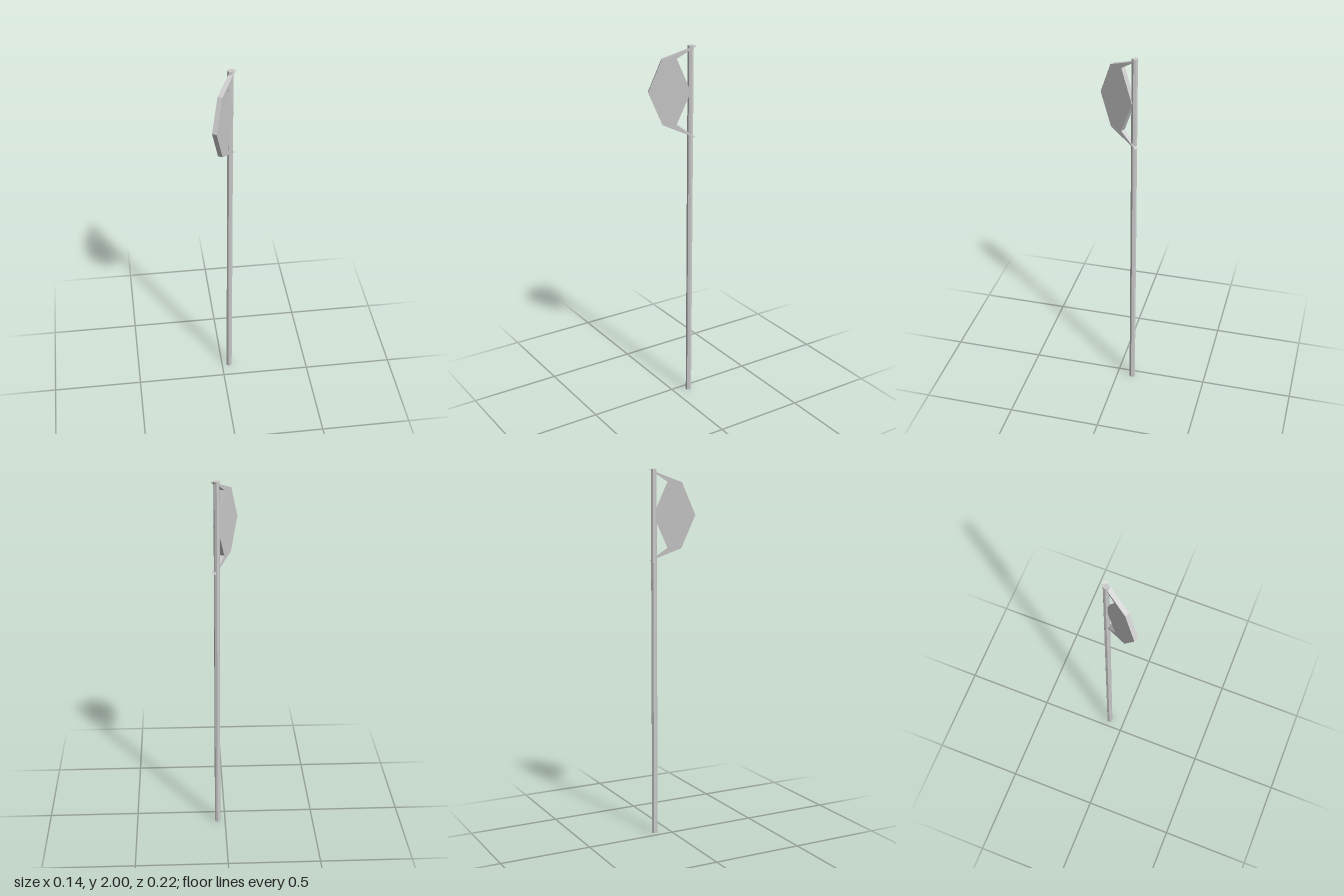
import * as THREE from 'three';

export function createModel() {
  const model = new THREE.Group();
  const material = new THREE.MeshStandardMaterial({ color: 0xcccccc, flatShading: true });

  // Seven-sided shaft
  const shaft = new THREE.Mesh(new THREE.CylinderGeometry(0.016, 0.016, 2, 7), material);
  shaft.name = 'shaft';
  shaft.rotation.y = Math.PI;
  shaft.position.set(0.042, 1, -0.0875);
  model.add(shaft);

  // Crescent blade: outer edge from the top tip down, then the inner edge back up
  const outline = [
    [-0.1225, 1.998], [0.052, 1.931], [0.1225, 1.76], [0.049, 1.586], [-0.1225, 1.515],
    [-0.024, 1.586], [-0.098, 1.76], [-0.024, 1.934],
  ];
  const thickness = 0.025;
  const shape = new THREE.Shape(outline.map(([u, y]) => new THREE.Vector2(u, y)));
  const bladeGeometry = new THREE.ExtrudeGeometry(shape, { depth: thickness, bevelEnabled: false });
  bladeGeometry.translate(0, 0, -thickness / 2);
  const blade = new THREE.Mesh(bladeGeometry, material);
  blade.name = 'axeBlade';
  blade.rotation.y = -2 * Math.PI / 3;
  model.add(blade);

  return model;
}
